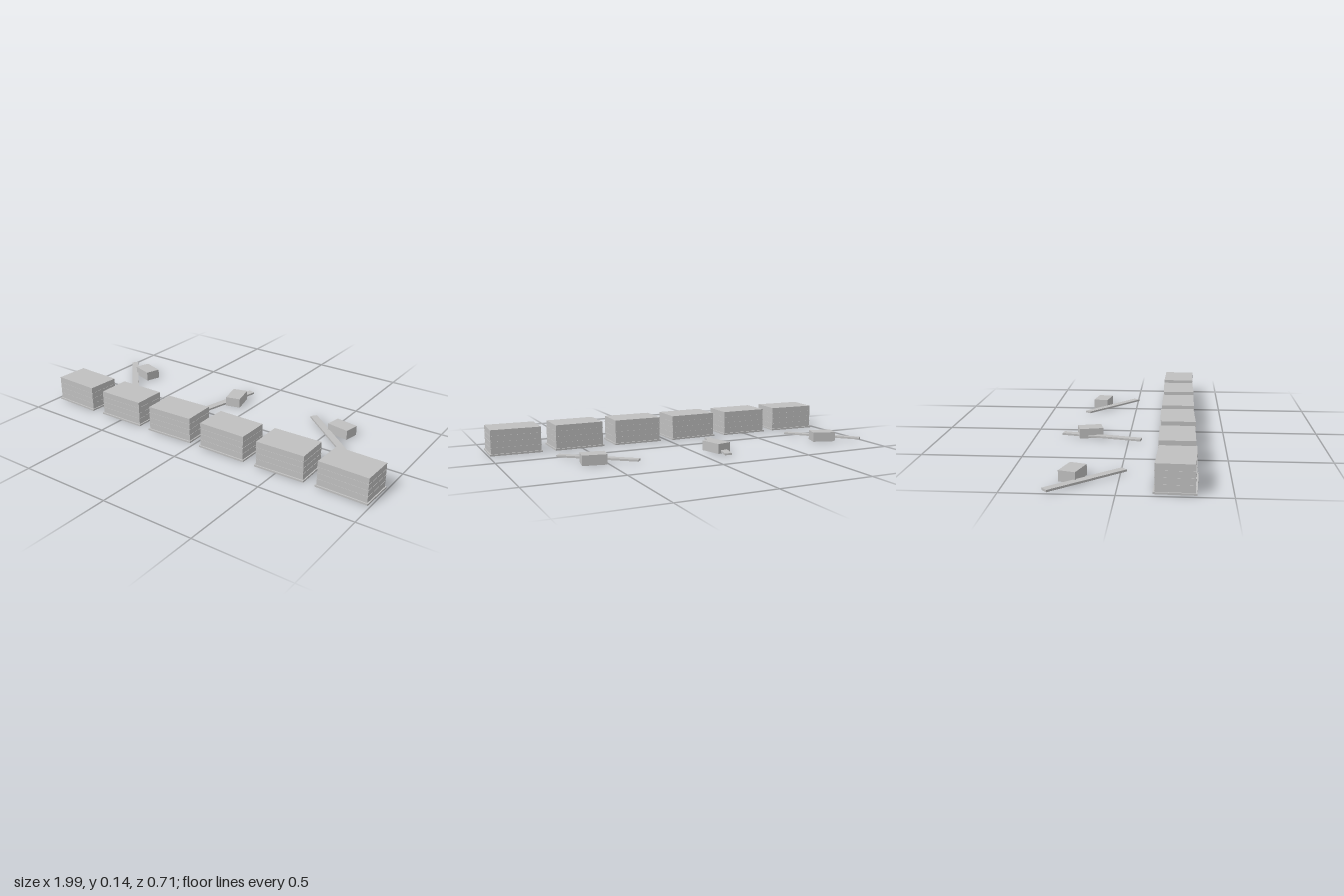
import * as THREE from 'three';

const concrete = new THREE.MeshStandardMaterial({ color: 0xbfbfbf });
concrete.name = 'concrete grey';

// Box resting at height y
function slab(name, w, h, d, y = 0) {
  const mesh = new THREE.Mesh(new THREE.BoxGeometry(w, h, d), concrete);
  mesh.name = name;
  mesh.position.y = y + h / 2;
  return mesh;
}

// Apartment block: plinth, body and thin floor ledges
function apartmentBlock(x, yaw) {
  const block = new THREE.Group();
  block.name = 'apartmentBlock';
  block.add(slab('plinth', 0.274, 0.009, 0.189));
  block.add(slab('body', 0.262, 0.126, 0.174, 0.009));
  for (const y of [0.039, 0.07, 0.101]) {
    block.add(slab('floorLedge', 0.265, 0.003, 0.177, y));
  }
  block.position.set(x, 0, 0.255);
  block.rotation.y = yaw;
  return block;
}

export function createModel() {
  const model = new THREE.Group();
  model.name = 'housingEstate';

  // Row of blocks, each turned a little
  const yaws = [-0.04, 0.005, 0.035, -0.005, 0.02, -0.025];
  yaws.forEach((yaw, i) => model.add(apartmentBlock(-0.84 + i * 0.3385, yaw)));

  // Raised paths behind the blocks: x, yaw
  for (const [x, yaw] of [[-0.84, -0.829], [-0.159, 1.339], [0.519, -0.685]]) {
    const path = slab('path', 0.432, 0.01, 0.038, 0.007);
    path.position.x = x;
    path.position.z = -0.144;
    path.rotation.y = yaw;
    model.add(path);
  }

  // Small sheds beside the paths: x, yaw
  for (const [x, yaw] of [[-0.794, -0.3], [-0.116, -1.316], [0.564, -0.175]]) {
    const shed = slab('shed', 0.125, 0.052, 0.083);
    shed.position.x = x;
    shed.position.z = -0.208;
    shed.rotation.y = yaw;
    model.add(shed);
  }

  return model;
}
